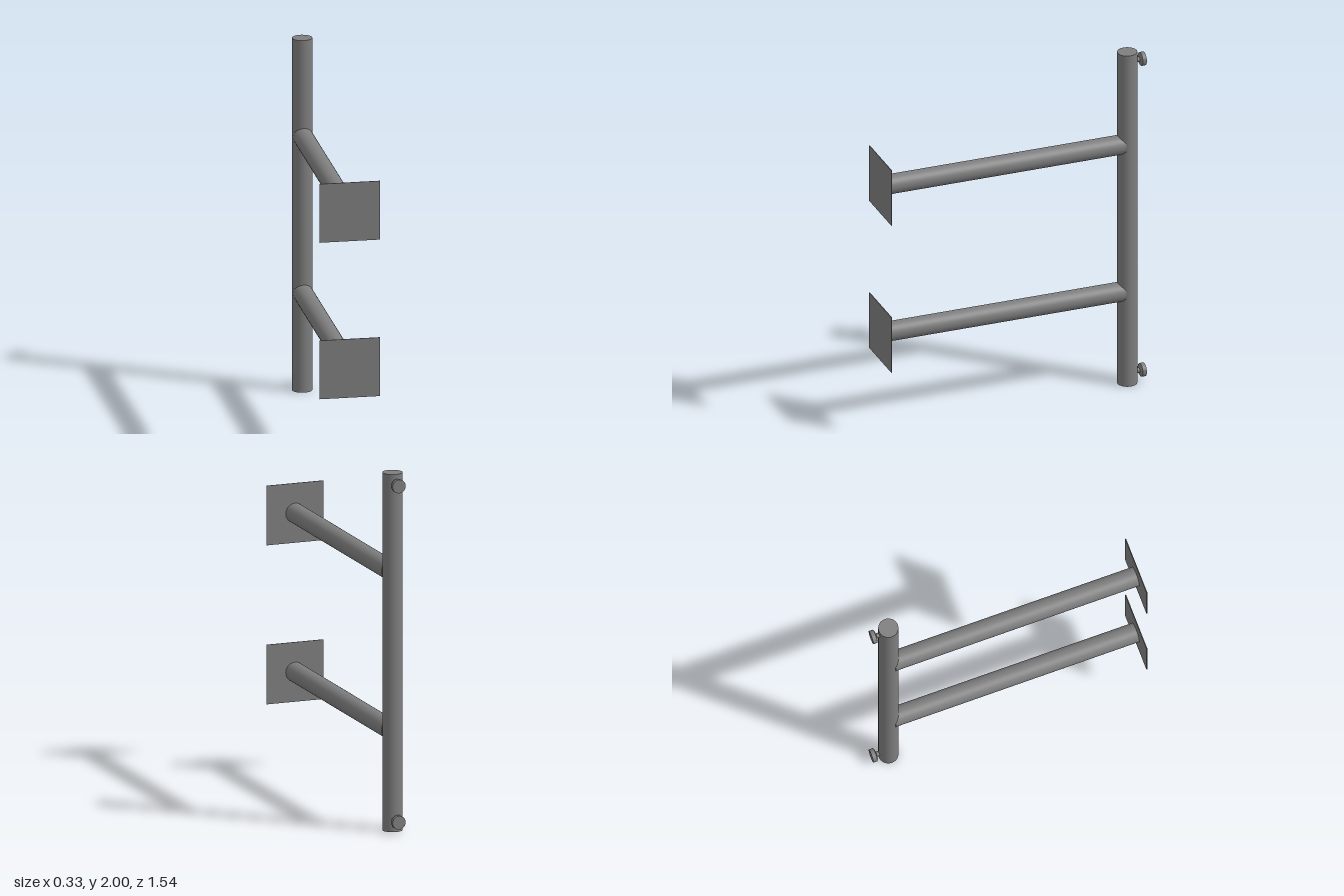
import * as THREE from 'three';
import { toCreasedNormals } from 'three/addons/utils/BufferGeometryUtils.js';

export function createModel() {
  const model = new THREE.Group();
  model.name = 'wallMountedHandle';
  const material = new THREE.MeshStandardMaterial({ color: 0x7e7e7e });

  const add = (name, geometry, x, y, z) => {
    const mesh = new THREE.Mesh(geometry, material);
    mesh.name = name;
    mesh.position.set(x, y, z);
    model.add(mesh);
  };

  const radius = 0.055, postZ = -0.67, plateZ = 0.767;

  // Upright tube
  add('post', new THREE.CylinderGeometry(radius, radius, 2, 32), 0, 1, postZ);

  // Two arms running forward from the post, each ending in a thin square plate
  const armBack = -0.645;
  const armLength = plateZ - armBack;
  const armGeometry = new THREE.CylinderGeometry(radius, radius, armLength, 32).rotateX(Math.PI / 2);
  const plateGeometry = new THREE.BoxGeometry(0.333, 0.333, 0.005);
  for (const [side, y] of [['lower', 0.556], ['upper', 1.445]]) {
    add(side + 'Arm', armGeometry, 0, y, (armBack + plateZ) / 2);
    add(side + 'Plate', plateGeometry, 0, y, plateZ);
  }

  // Knobs on the back of the post: narrow stem, bevelled underside, flat head
  const profile = [
    [0, 0], [0.014, 0], [0.014, 0.019], [0.03, 0.022], [0.038, 0.027], [0.038, 0.05], [0, 0.05],
  ].map(([r, h]) => new THREE.Vector2(r, h));
  const knobGeometry = toCreasedNormals(new THREE.LatheGeometry(profile, 24), 0.4).rotateX(-Math.PI / 2);
  add('lowerKnob', knobGeometry, 0, 0.062, -0.72);
  add('upperKnob', knobGeometry, 0, 1.942, -0.72);

  return model;
}
